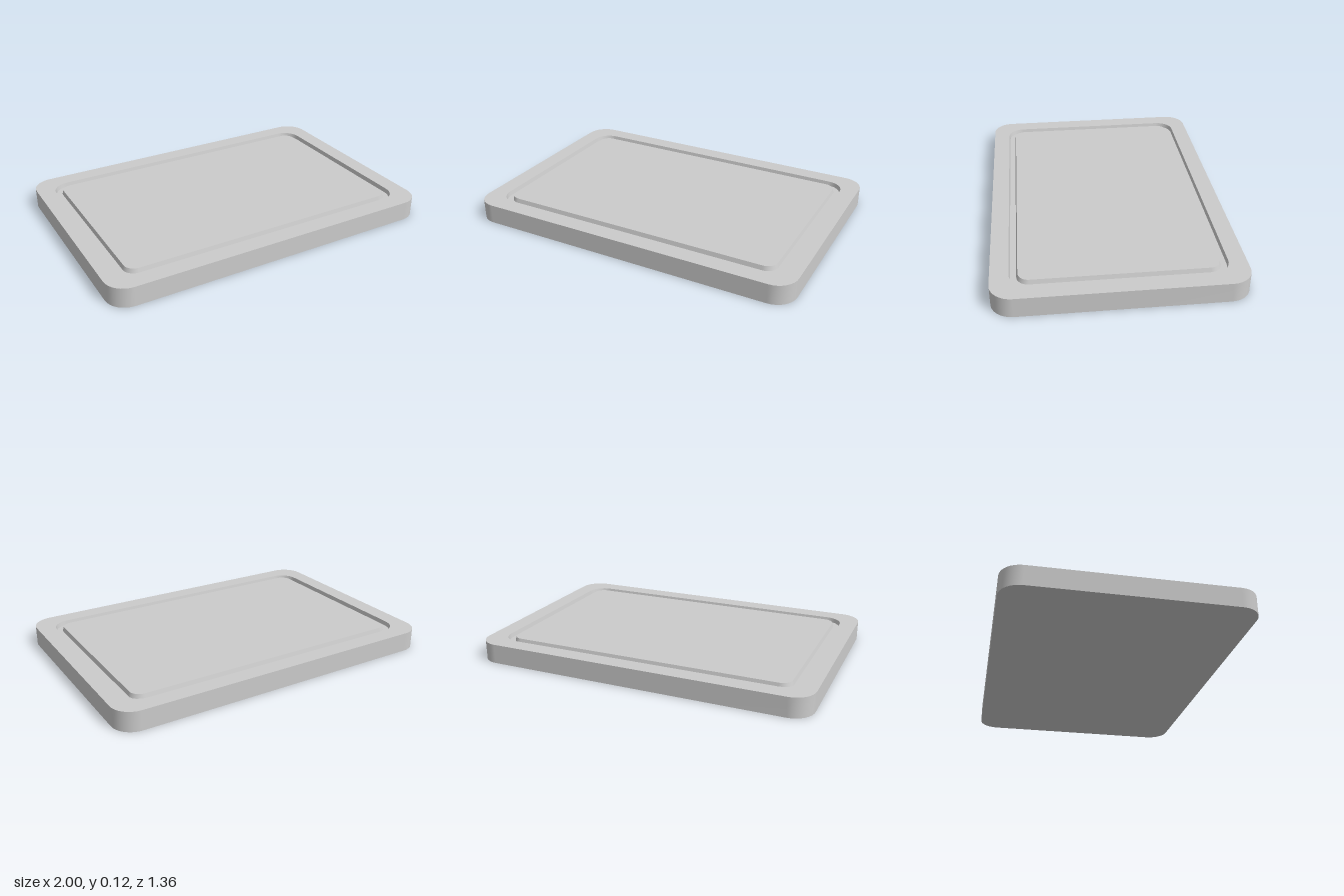
import * as THREE from 'three';
import { mergeGeometries } from 'three/addons/utils/BufferGeometryUtils.js';

const HALF_X = 1, HALF_Z = 0.68, HEIGHT = 0.115, CORNER_STEPS = 8;

// Points of a rounded rectangle, inset from the board's edge
function outline(inset, radius) {
  const points = [];
  for (let corner = 0; corner < 4; corner++) {
    const sx = corner === 0 || corner === 3 ? 1 : -1;
    const sz = corner < 2 ? 1 : -1;
    for (let i = 0; i <= CORNER_STEPS; i++) {
      const a = (corner + i / CORNER_STEPS) * Math.PI / 2;
      points.push(new THREE.Vector2(
        sx * (HALF_X - inset - radius) + radius * Math.cos(a),
        sz * (HALF_Z - inset - radius) + radius * Math.sin(a)));
    }
  }
  return points;
}

// Closed band between two outlines, each given as [inset, radius, y]
function band([insetA, radiusA, yA], [insetB, radiusB, yB]) {
  const a = outline(insetA, radiusA), b = outline(insetB, radiusB);
  const n = a.length, positions = [], index = [];
  a.forEach(p => positions.push(p.x, yA, p.y));
  b.forEach(p => positions.push(p.x, yB, p.y));
  for (let i = 0; i < n; i++) {
    const j = (i + 1) % n;
    index.push(i, n + i, j, j, n + i, n + j);
  }
  const geometry = new THREE.BufferGeometry();
  geometry.setAttribute('position', new THREE.Float32BufferAttribute(positions, 3));
  geometry.setIndex(index);
  geometry.computeVertexNormals();
  return geometry;
}

// Flat face filling an outline, facing up (1) or down (-1)
function face([inset, radius, y], direction) {
  const geometry = new THREE.ShapeGeometry(new THREE.Shape(outline(inset, radius)));
  geometry.deleteAttribute('uv');
  return geometry.rotateX(-direction * Math.PI / 2).translate(0, y, 0);
}

export function createModel() {
  const group = new THREE.Group();
  group.name = 'cuttingBoard';
  const material = new THREE.MeshStandardMaterial({ color: 0xcccccc });
  const add = (name, geometry) => {
    const mesh = new THREE.Mesh(geometry, material);
    mesh.name = name;
    group.add(mesh);
  };

  const bottom = [0, 0.12, 0];
  const top = [0, 0.12, HEIGHT];
  // Juice groove section, from its outer lip to its inner lip
  const groove = [
    [0.1, 0.1, HEIGHT],
    [0.106, 0.094, HEIGHT - 0.025],
    [0.139, 0.066, HEIGHT - 0.025],
    [0.146, 0.06, HEIGHT],
  ];

  // Sides, underside and raised border
  add('boardBody', mergeGeometries([face(bottom, -1), band(bottom, top), band(top, groove[0])]));

  // Channel running around the board
  add('juiceGroove', mergeGeometries(groove.slice(1).map((ring, i) => band(groove[i], ring))));

  // Central work area
  add('cuttingSurface', face(groove[3], 1));

  return group;
}
